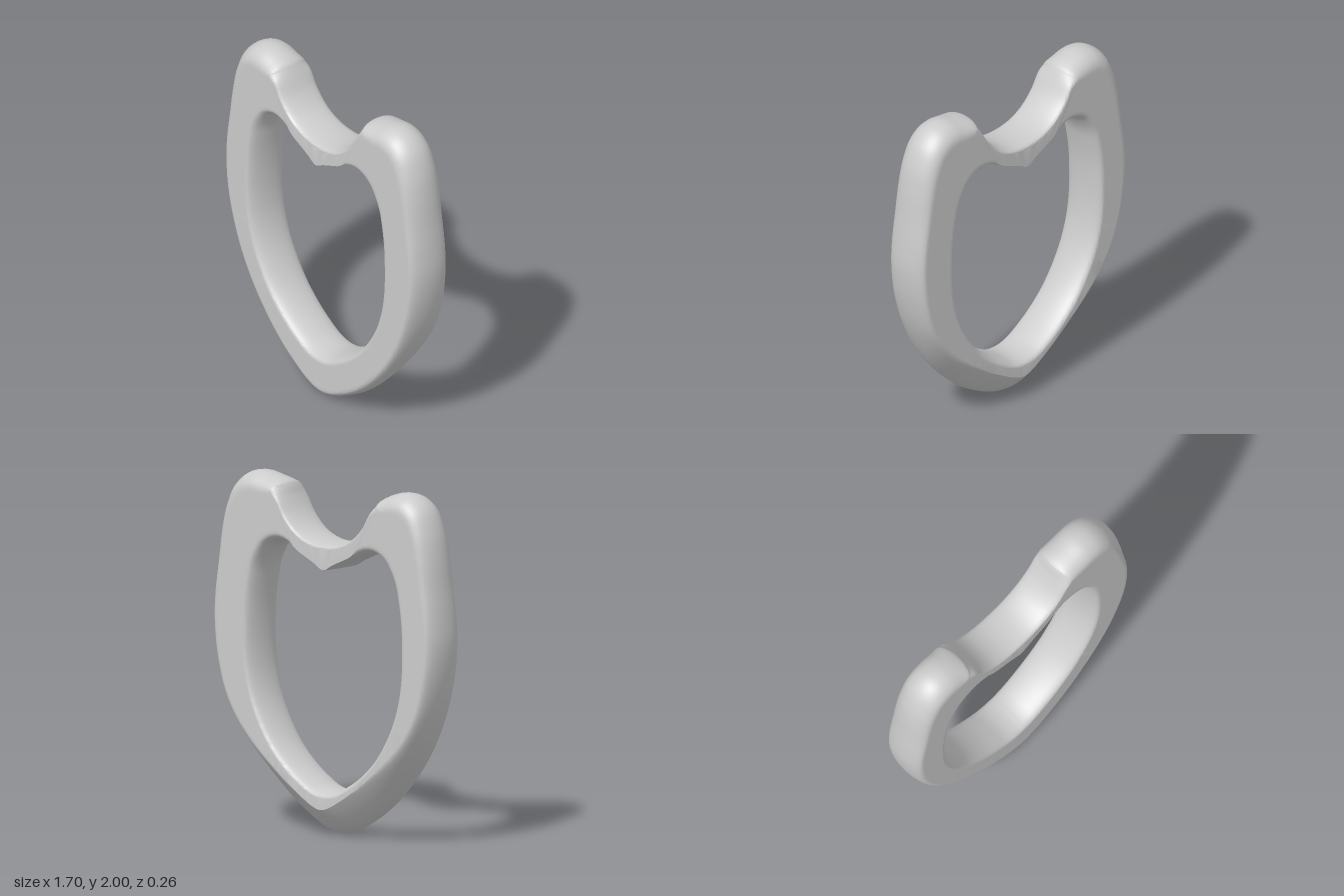
import * as THREE from 'three';
import { toCreasedNormals } from 'three/addons/utils/BufferGeometryUtils.js';

const HALF = 0.13;    // half thickness
const SHIFT = -0.022; // sideways offset of the hole and the notch
const NOTCH = 18;     // first station that belongs to the notch

// Outline stations from bottom centre to notch centre:
// outer x, y, edge rounding; inner x, y, edge rounding
const stations = [
  [0, 0, 0.04, 0, 0.257, 0.04],
  [0.1, 0.02, 0.04, 0.08, 0.27, 0.04],
  [0.22, 0.08, 0.04, 0.17, 0.315, 0.04],
  [0.35, 0.168, 0.04, 0.26, 0.375, 0.04],
  [0.48, 0.288, 0.04, 0.36, 0.465, 0.04],
  [0.6, 0.43, 0.04, 0.44, 0.57, 0.04],
  [0.7, 0.59, 0.04, 0.51, 0.7, 0.04],
  [0.78, 0.77, 0.045, 0.555, 0.84, 0.04],
  [0.83, 0.96, 0.045, 0.575, 0.98, 0.04],
  [0.852, 1.15, 0.05, 0.578, 1.12, 0.04],
  [0.845, 1.3, 0.05, 0.568, 1.26, 0.045],
  [0.825, 1.48, 0.06, 0.548, 1.38, 0.048],
  [0.805, 1.65, 0.07, 0.525, 1.47, 0.05],
  [0.775, 1.79, 0.08, 0.49, 1.54, 0.05],
  [0.72, 1.91, 0.09, 0.45, 1.59, 0.05],
  [0.64, 1.98, 0.1, 0.4, 1.618, 0.05],
  [0.55, 2.0, 0.1, 0.355, 1.626, 0.05],
  [0.46, 1.985, 0.09, 0.31, 1.622, 0.045],
  [0.38, 1.955, 0.065, 0.27, 1.614, 0.035],
  [0.365, 1.935, 0.06, 0.25, 1.609, 0.024],
  [0.34, 1.875, 0.03, 0.23, 1.603, 0.012],
  [0.285, 1.785, 0.026, 0.195, 1.59, 0.004],
  [0.205, 1.71, 0.026, 0.14, 1.567, 0.003],
  [0.11, 1.668, 0.026, 0.07, 1.536, 0.003],
  [0, 1.655, 0.026, 0, 1.503, 0.003],
];

// Closed loops; the third coordinate carries the rounding
function makeLoops() {
  const outer = [], inner = [];
  const add = (i, side) => {
    const [ox, oy, of, ix, iy, ig] = stations[i];
    // the right horn slopes down a little more toward the notch
    const drop = side < 0 && i > 14 && i < 20 ? 0.006 + 0.006 * Math.min(i - 15, 2) : 0;
    outer.push(new THREE.Vector3(side * ox + (i >= NOTCH ? SHIFT : 0), oy - drop, of));
    inner.push(new THREE.Vector3(side * ix + SHIFT, iy, ig));
  };
  for (let i = 0; i < stations.length; i++) add(i, 1);
  for (let i = stations.length - 2; i > 0; i--) add(i, -1);
  return [outer, inner].map((p) => new THREE.CatmullRomCurve3(p, true, 'centripetal'));
}

// Outward direction in the front plane
function normalAt(curve, t, d) {
  const a = curve.getPoint((t - d + 1) % 1), b = curve.getPoint((t + d) % 1);
  return new THREE.Vector2(b.y - a.y, a.x - b.x).normalize();
}

// One cross-section: outer surface, back face, inner surface, front face
function crossSection(outer, inner, t, steps) {
  const keys = outer.points.length;
  const o = outer.getPoint(t), p = inner.getPoint(t);
  // the back of the lower edge is cut away at a slope
  const slope = 1 - THREE.MathUtils.smoothstep(o.y, 0.08, 0.8);
  const peak = 0.05 * slope;
  const back = THREE.MathUtils.lerp(o.z, 0.15, slope);
  const n = normalAt(outer, t, (0.7 + 1.3 * slope) / keys);
  const m = normalAt(inner, t, 0.7 / keys);
  const outside = [], inside = [];

  for (let j = -steps; j <= steps; j++) {
    const a = (Math.abs(j) / steps) * Math.PI / 2, s = Math.sin(a);
    const round = 1 - Math.cos(a);
    const inset = j < 0 ? o.z * round
      : back * THREE.MathUtils.lerp(round, Math.pow(s, 1.5), slope);
    const z = j < 0 ? peak + (HALF - peak) * s : peak - (HALF + peak) * s;
    outside.push(new THREE.Vector3(o.x - n.x * inset, o.y - n.y * inset, z));
    // the wall of the hole bulges toward the middle
    const bulge = p.z * round;
    inside.push(new THREE.Vector3(p.x + m.x * bulge, p.y + m.y * bulge, Math.sign(j) * HALF * s));
  }
  // extra points close to the rims keep the faces flat
  const face = (from, to) => [0.07, 0.93].map((f) => from.clone().lerp(to, f));
  const last = 2 * steps;
  return [
    ...outside, ...face(outside[last], inside[0]),
    ...inside, ...face(inside[last], outside[0]),
  ];
}

function bandGeometry() {
  const [outer, inner] = makeLoops();
  const sections = outer.points.length * 6, steps = 8;
  const ring = 2 * (2 * steps + 1) + 4;
  const positions = [], index = [];

  for (let i = 0; i < sections; i++) {
    for (const v of crossSection(outer, inner, i / sections, steps)) positions.push(v.x, v.y, v.z);
    // join to the next section
    const next = ((i + 1) % sections) * ring;
    for (let j = 0; j < ring; j++) {
      const k = (j + 1) % ring;
      const a = i * ring + j, b = i * ring + k, c = next + k, d = next + j;
      index.push(a, b, d, b, c, d);
    }
  }
  const geometry = new THREE.BufferGeometry();
  geometry.setAttribute('position', new THREE.Float32BufferAttribute(positions, 3));
  geometry.setIndex(index);
  return toCreasedNormals(geometry, 0.6);
}

export function createModel() {
  const group = new THREE.Group();
  group.name = 'hornedRing';
  const band = new THREE.Mesh(
    bandGeometry(),
    new THREE.MeshStandardMaterial({ color: 0xcccccc }),
  );
  band.name = 'band';
  group.add(band);
  return group;
}
